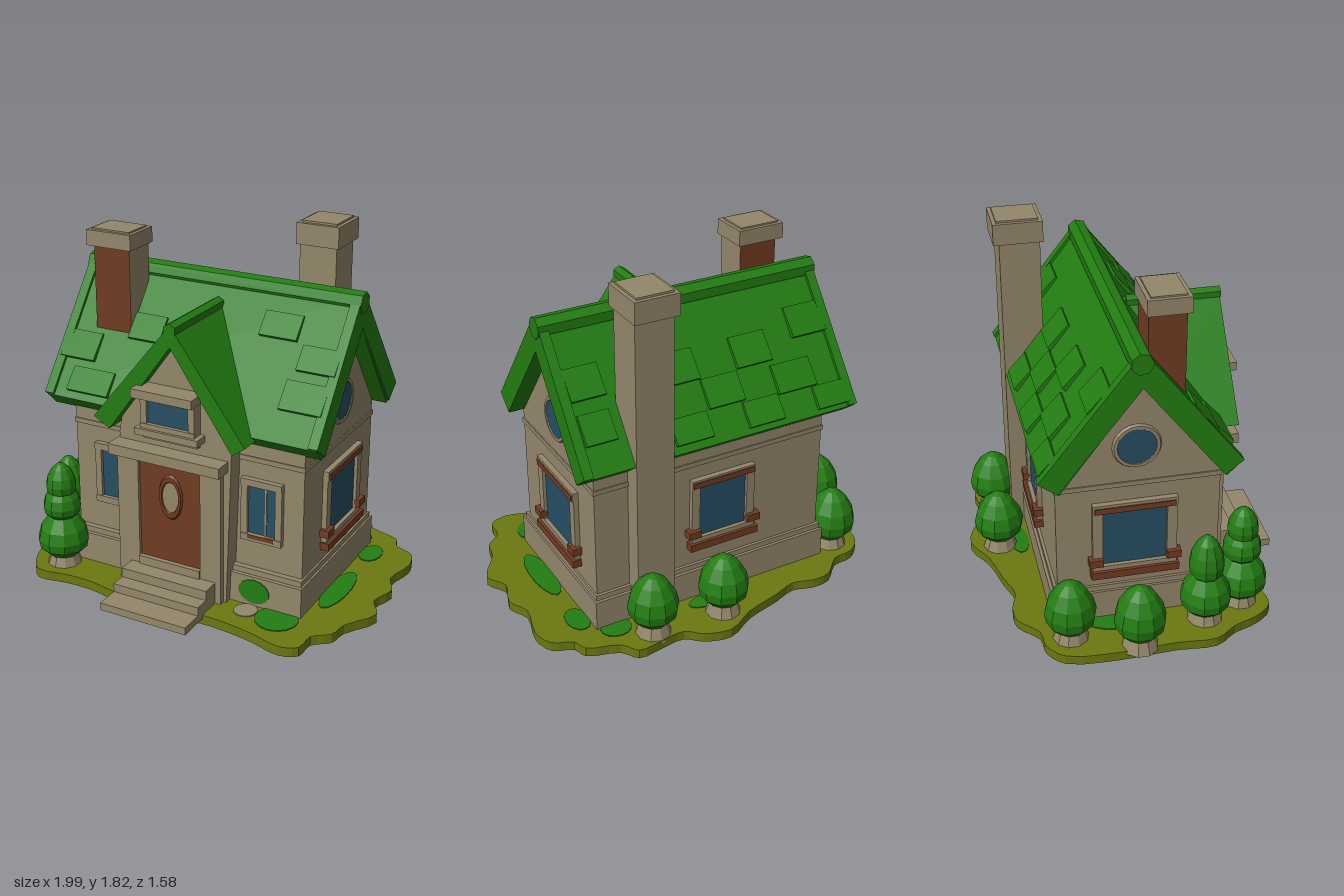
import * as THREE from 'three';

const mat = (name, color) => {
  const m = new THREE.MeshStandardMaterial({ color, flatShading: true });
  m.name = name;
  return m;
};

export function createModel() {
  const stone = mat('stone', 0x93866a);
  const green = mat('leafGreen', 0x237d12);
  const grass = mat('grassOlive', 0x6c7810);
  const wood = mat('wood', 0x713b22);
  const glass = mat('glass', 0x264e63);

  const root = new THREE.Group();
  root.name = 'cottage';

  const add = (parent, name, geo, material, x = 0, y = 0, z = 0) => {
    const mesh = new THREE.Mesh(geo, material);
    mesh.name = name;
    mesh.position.set(x, y, z);
    parent.add(mesh);
    return mesh;
  };
  // Box given by its limits on each axis
  const box = (parent, name, material, x0, x1, y0, y1, z0, z1) =>
    add(parent, name, new THREE.BoxGeometry(x1 - x0, y1 - y0, z1 - z0), material,
      (x0 + x1) / 2, (y0 + y1) / 2, (z0 + z1) / 2);
  const group = (parent, name, x = 0, y = 0, z = 0, ry = 0) => {
    const g = new THREE.Group();
    g.name = name;
    g.position.set(x, y, z);
    g.rotation.y = ry;
    parent.add(g);
    return g;
  };
  const shapeOf = (pts) => new THREE.Shape(pts.map(([a, b]) => new THREE.Vector2(a, b)));
  const extrude = (shape, depth) =>
    new THREE.ExtrudeGeometry(shape, { depth, bevelEnabled: false, curveSegments: 20 });
  // Profile of [z, y] points swept along x
  const sweepX = (pts, x0, x1) =>
    extrude(shapeOf(pts.map(([z, y]) => [-z, y])), x1 - x0).rotateY(Math.PI / 2).translate(x0, 0, 0);

  // Wavy lawn
  const outline = [
    [0.11, -0.79], [0.25, -0.75], [0.32, -0.69], [0.45, -0.7], [0.58, -0.71], [0.64, -0.63], [0.8, -0.57],
    [0.83, -0.5], [0.93, -0.45], [0.965, -0.34], [0.93, -0.16], [0.98, -0.05], [0.94, 0.09], [1, 0.2],
    [0.9, 0.37], [0.88, 0.47], [0.8, 0.54], [0.79, 0.65], [0.7, 0.69], [0.54, 0.65], [0.3, 0.62],
    [-0.22, 0.64], [-0.4, 0.61], [-0.55, 0.61], [-0.72, 0.63], [-0.8, 0.54], [-0.85, 0.41], [-0.92, 0.3],
    [-0.91, 0.1], [-0.92, -0.18], [-0.89, -0.45], [-0.8, -0.53], [-0.69, -0.545], [-0.58, -0.64],
    [-0.48, -0.65], [-0.37, -0.62], [-0.24, -0.66], [-0.05, -0.71],
  ];
  const lawnCurve = new THREE.CatmullRomCurve3(outline.map(([x, z]) => new THREE.Vector3(x, -z, 0)), true);
  const lawnShape = new THREE.Shape(lawnCurve.getPoints(114).slice(0, -1).map((p) => new THREE.Vector2(p.x, p.y)));
  add(root, 'lawn', extrude(lawnShape, 0.05).rotateX(-Math.PI / 2), grass);

  // Flat patches on the lawn: x, z, radius x, radius z, colour
  for (const [x, z, rx, rz, m] of [
    [0.59, 0.48, 0.11, 0.11, green], [0.42, 0.48, 0.06, 0.06, stone], [0.74, 0.08, 0.06, 0.2, green],
    [0.74, -0.35, 0.06, 0.09, green], [0.6, -0.5, 0.08, 0.07, green], [0.08, -0.53, 0.12, 0.05, green],
    [-0.68, -0.1, 0.08, 0.2, green],
  ]) {
    const patch = add(root, 'lawnPatch', new THREE.CylinderGeometry(1, 1, 0.006, 14), m, x, 0.052, z);
    patch.scale.set(rx, 1, rz);
  }

  // Walls and plinth
  add(root, 'walls', sweepX([[0.37, 0.03], [0.37, 0.92], [-0.04, 1.46], [-0.44, 0.92], [-0.44, 0.03]], -0.62, 0.67), stone);
  box(root, 'plinth', stone, -0.645, 0.69, 0.03, 0.21, -0.47, 0.42);
  box(root, 'plinthTop', stone, -0.633, 0.68, 0.21, 0.24, -0.455, 0.4);
  box(root, 'wallBand', stone, -0.626, 0.676, 0.81, 0.835, -0.446, 0.376);
  const moss = add(root, 'mossPatch', new THREE.CylinderGeometry(1, 1, 0.006, 14).rotateX(Math.PI / 2), green, 0.435, 0.13, 0.422);
  moss.scale.set(0.085, 0.065, 1);

  // Main roof
  const ridgeZ = -0.05;
  add(root, 'mainRoof', sweepX([[0.43, 0.96], [ridgeZ, 1.58], [-0.53, 0.96], [-0.44, 0.89], [ridgeZ, 1.42], [0.36, 0.89]],
    -0.75, 0.75), green);
  add(root, 'ridgeBeam', new THREE.CylinderGeometry(0.055, 0.055, 1.53, 7).rotateZ(Math.PI / 2), green, 0, 1.54, -0.055);
  const slope = Math.atan2(0.62, 0.48);
  // Raised shingles: x, distance down the slope, width, length
  const shingles = {
    front: [[-0.64, 0.5, 0.2, 0.15], [0.64, 0.36, 0.2, 0.13], [0.62, 0.55, 0.22, 0.15], [-0.3, 0.35, 0.18, 0.14],
      [-0.52, 0.68, 0.24, 0.13], [0.4, 0.22, 0.2, 0.13]],
    back: [[-0.27, 0.38, 0.2, 0.16], [0.14, 0.38, 0.2, 0.16], [0.62, 0.34, 0.18, 0.16], [-0.62, 0.3, 0.2, 0.16],
      [-0.06, 0.54, 0.2, 0.15], [-0.46, 0.56, 0.22, 0.15], [0.62, 0.56, 0.16, 0.15], [-0.24, 0.69, 0.2, 0.13],
      [0.16, 0.68, 0.2, 0.13], [-0.63, 0.7, 0.18, 0.12]],
  };
  for (const [side, list] of Object.entries(shingles)) {
    const back = side === 'back';
    const turn = group(root, side + 'Shingles', 0, 1.58, ridgeZ, back ? Math.PI : 0);
    const plane = group(turn, side + 'SlopeShingles');
    plane.rotation.x = slope;
    for (const [x, t, w, l] of list) {
      const tile = add(plane, 'shingle', new THREE.BoxGeometry(w, 0.025, l), green, back ? -x : x, 0.005, t);
      tile.rotation.x = -0.07;
    }
    // Thicker verge at each end
    for (const s of [-1, 1]) box(plane, 'verge', green, s * 0.735 - 0.025, s * 0.735 + 0.025, -0.1, 0.015, 0.02, 0.78);
  }

  // Front gable with its own roof
  add(root, 'gableWall', extrude(shapeOf([[-0.3, 0.03], [0.3, 0.03], [0.33, 0.96], [0.03, 1.4], [-0.28, 0.96], [-0.3, 0.86]]), 0.26), stone, 0, 0, 0.2);
  add(root, 'gableRoof', extrude(shapeOf([[-0.41, 0.94], [-0.32, 0.89], [0.03, 1.37], [0.36, 0.89], [0.43, 0.94], [0.03, 1.48]].reverse()), 0.5), green, 0, 0, 0.02);
  add(root, 'gableRidge', new THREE.CylinderGeometry(0.035, 0.035, 0.48, 6).rotateX(Math.PI / 2), green, 0.03, 1.455, 0.285);
  box(root, 'porchLedge', stone, -0.31, 0.31, 0.77, 0.825, 0.4, 0.555);
  box(root, 'porchPostRight', stone, -0.3, -0.18, 0.05, 0.77, 0.44, 0.49);
  box(root, 'porchPostLeft', stone, 0.17, 0.285, 0.05, 0.77, 0.44, 0.49);

  // Door with an oval pane
  box(root, 'door', wood, -0.178, 0.17, 0.2, 0.77, 0.44, 0.475);
  const oval = (name, m, rx, ry, z) => {
    const o = add(root, name, new THREE.CylinderGeometry(1, 1, 0.009, 20).rotateX(Math.PI / 2), m, 0, 0.57, z);
    o.scale.set(rx, ry, 1);
  };
  const ring = add(root, 'doorPaneFrame', new THREE.TorusGeometry(0.055, 0.013, 6, 20), wood, 0, 0.57, 0.477);
  ring.scale.y = 1.8;
  oval('doorPane', stone, 0.045, 0.085, 0.478);

  // Front steps
  [[0.03, 0.07, 0.79], [0.05, 0.115, 0.665], [0.05, 0.165, 0.585], [0.05, 0.21, 0.5]].forEach(([y0, y1, z], i) =>
    box(root, 'step' + (i + 1), stone, i < 3 ? -0.23 : -0.18, i < 3 ? 0.255 : 0.17, y0, y1, 0.4, z));

  // Framed window facing local +z: glass size, bar width, wooden trim
  const makeWindow = (name, x, y, z, ry, w, h, bar, trim) => {
    const g = group(root, name, x, y, z, ry);
    const a = w / 2, b = h / 2;
    box(g, 'pane', glass, -a, a, -b, b, 0, 0.009);
    for (const s of [-1, 1]) {
      box(g, 'frameSide', stone, s * (a + bar / 2) - bar / 2, s * (a + bar / 2) + bar / 2, -b, b, -0.02, 0.026);
      box(g, 'frameRail', stone, -a - bar, a + bar, s * (b + bar / 2) - bar / 2, s * (b + bar / 2) + bar / 2, -0.02, 0.03);
      if (trim) box(g, 'sillBracket', wood, s * (a + 0.035) - 0.035, s * (a + 0.035) + 0.035, -b + 0.01, -b + 0.05, 0, 0.048);
    }
    if (trim) {
      box(g, 'lintel', wood, -a - 0.04, a + 0.04, b + 0.005, b + 0.035, 0, 0.036);
      box(g, 'sill', wood, -a - 0.06, a + 0.06, -b - 0.065, -b - 0.025, 0, 0.046);
    }
    return g;
  };
  makeWindow('frontRightWindow', -0.4, 0.565, 0.37, 0, 0.12, 0.26, 0.035, false);
  const leftWindow = makeWindow('frontLeftWindow', 0.455, 0.56, 0.37, 0, 0.15, 0.26, 0.035, false);
  box(leftWindow, 'mullion', stone, 0.015, 0.024, -0.13, 0.13, 0, 0.014);
  box(leftWindow, 'sill', wood, -0.07, 0.07, -0.15, -0.13, 0, 0.033);
  makeWindow('leftSideWindow', 0.67, 0.525, -0.055, Math.PI / 2, 0.32, 0.31, 0.05, true);
  makeWindow('rightSideWindow', -0.62, 0.525, -0.055, -Math.PI / 2, 0.32, 0.31, 0.05, true);
  makeWindow('backWindow', -0.03, 0.55, -0.44, Math.PI, 0.27, 0.29, 0.045, true);
  const attic = makeWindow('atticWindow', 0.01, 1.02, 0.495, 0, 0.23, 0.12, 0.035, false);
  box(attic, 'atticBacking', stone, -0.15, 0.15, -0.15, 0.1, -0.06, -0.001);
  box(attic, 'atticCap', stone, -0.17, 0.165, 0.085, 0.13, -0.04, 0.08);
  box(attic, 'atticSill', stone, -0.175, 0.175, -0.12, -0.085, -0.04, 0.045);

  // Round gable windows
  for (const s of [-1, 1]) {
    const g = group(root, 'roundWindow', s > 0 ? 0.67 : -0.62, 1.03, -0.045, s * Math.PI / 2);
    add(g, 'roundPane', new THREE.CylinderGeometry(0.1, 0.1, 0.009, 20).rotateX(Math.PI / 2), glass, 0, 0, 0.004);
    add(g, 'roundFrame', new THREE.TorusGeometry(0.105, 0.015, 6, 20), stone);
  }

  // Chimneys
  box(root, 'tallChimney', stone, 0.29, 0.49, 0.03, 1.7, -0.535, -0.33);
  box(root, 'tallChimneyCap', stone, 0.275, 0.505, 1.7, 1.81, -0.565, -0.315);
  box(root, 'tallChimneyTop', stone, 0.295, 0.485, 1.81, 1.82, -0.545, -0.335);
  box(root, 'shortChimney', [stone, wood, stone, stone, wood, wood], -0.595, -0.39, 1.2, 1.71, 0.01, 0.19);
  box(root, 'shortChimneyCap', stone, -0.63, -0.375, 1.7, 1.78, -0.005, 0.205);
  box(root, 'shortChimneyTop', stone, -0.61, -0.395, 1.78, 1.788, 0.015, 0.185);

  // Bushes: egg-shaped lumps stacked on a flared foot
  const lump = (parent, y0, y1, r) => {
    const h = y1 - y0;
    const pts = [[0, 0], [0.6, 0.06], [0.93, 0.22], [1, 0.4], [0.88, 0.62], [0.58, 0.84], [0.25, 0.96], [0, 1]];
    add(parent, 'foliage', new THREE.LatheGeometry(pts.map(([a, b]) => new THREE.Vector2(a * r, b * h)), 10), green, 0, y0, 0);
  };
  for (const [x, z, ...lumps] of [
    [0.065, -0.635, [0.1, 0.39, 0.13]], [0.45, -0.61, [0.1, 0.39, 0.13]],
    [-0.75, -0.4, [0.09, 0.39, 0.13]], [-0.87, -0.08, [0.09, 0.4, 0.13]],
    [-0.75, 0.28, [0.09, 0.36, 0.13], [0.28, 0.555, 0.09]],
    [-0.65, 0.49, [0.09, 0.36, 0.135], [0.3, 0.51, 0.1], [0.42, 0.62, 0.08]],
  ]) {
    const bush = group(root, 'bush', x, 0, z);
    add(bush, 'bushFoot', new THREE.CylinderGeometry(0.06, 0.095, 0.1, 10), stone, 0, 0.085, 0);
    for (const [y0, y1, r] of lumps) lump(bush, y0, y1, r);
  }

  return root;
}
